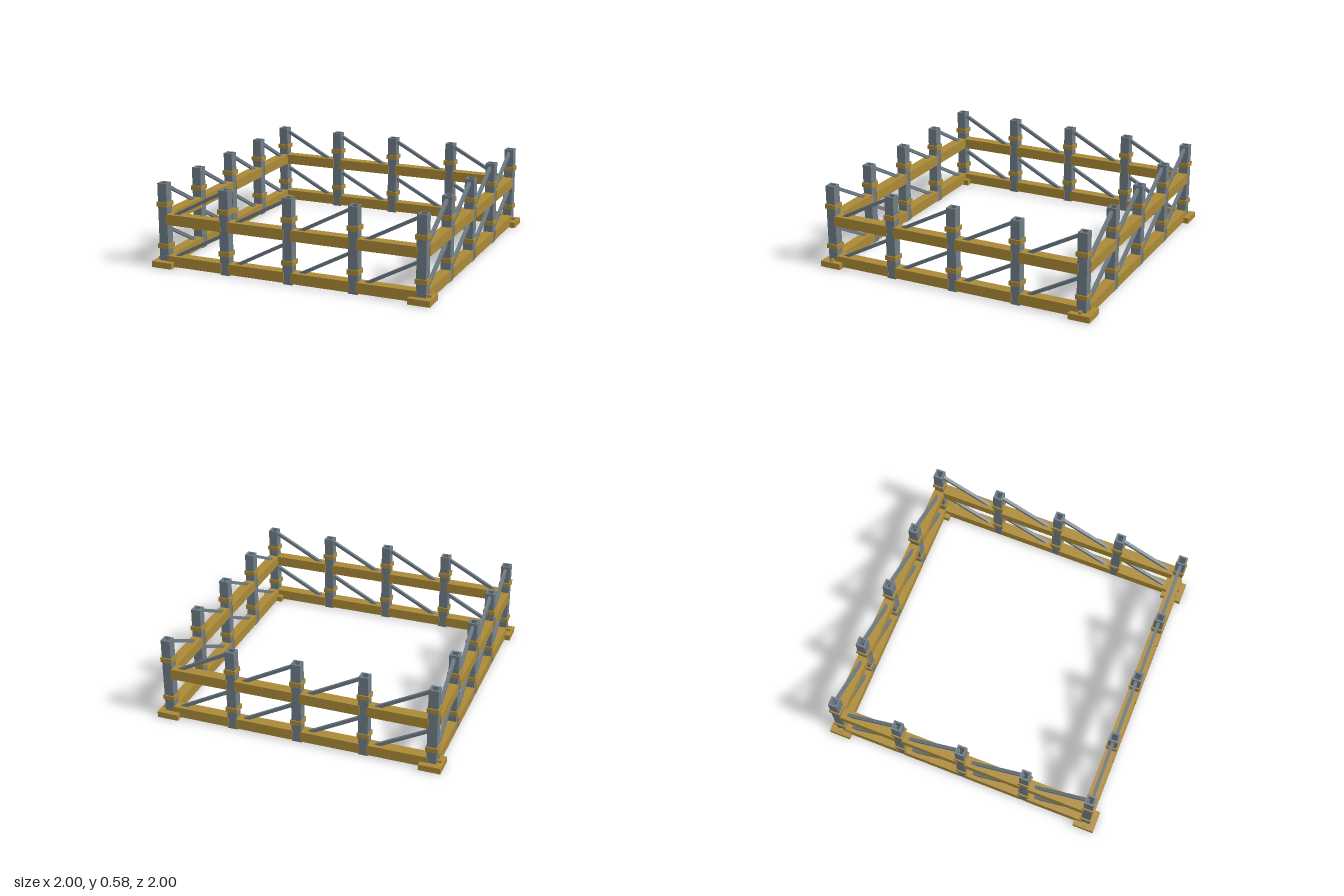
import * as THREE from 'three';

const EDGE = 0.925;        // distance of the post line from the centre
const BAY = EDGE / 2;      // post spacing
const LEVELS = [0, 0.291]; // base heights of the two tiers

// Square tube standing on y = 0
function squareTube(outer, inner, height) {
  const square = (Type, h) => new Type([
    new THREE.Vector2(-h, -h), new THREE.Vector2(h, -h),
    new THREE.Vector2(h, h), new THREE.Vector2(-h, h),
  ]);
  const shape = square(THREE.Shape, outer / 2);
  shape.holes.push(square(THREE.Path, inner / 2));
  const geo = new THREE.ExtrudeGeometry(shape, { depth: height, bevelEnabled: false });
  return geo.rotateX(-Math.PI / 2);
}

export function createModel() {
  const timber = new THREE.MeshStandardMaterial({ name: 'ochre', color: 0xab8a38 });
  const steel = new THREE.MeshStandardMaterial({ name: 'steelGrey', color: 0x6f7c86 });

  const add = (parent, name, geo, mat, x, y, z) => {
    const mesh = new THREE.Mesh(geo, mat);
    mesh.name = name;
    mesh.position.set(x, y, z);
    parent.add(mesh);
    return mesh;
  };

  const postGeo = squareTube(0.066, 0.042, 0.585);
  const collarGeo = squareTube(0.082, 0.064, 0.032);
  const beamGeo = new THREE.BoxGeometry(BAY - 0.05, 0.073, 0.075);
  const plateGeo = new THREE.BoxGeometry(0.15, 0.042, 0.15);
  const lugGeo = new THREE.BoxGeometry(0.04, 0.018, 0.02);

  // Diagonal brace, rising towards +x
  const rise = 0.234, run = BAY - 0.026;
  const braceGeo = new THREE.BoxGeometry(Math.hypot(rise, run), 0.022, 0.022);
  braceGeo.rotateZ(Math.atan2(rise, run));

  const model = new THREE.Group();
  model.name = 'fenceFrame';

  // Four identical sides, each turned a quarter further
  for (let s = 0; s < 4; s++) {
    const side = new THREE.Group();
    side.name = 'side' + (s + 1);
    side.rotation.y = s * Math.PI / 2;
    model.add(side);

    add(side, 'cornerPlate', plateGeo, timber, -EDGE, 0.023, EDGE);

    for (let i = 0; i < 4; i++) {
      const x = -EDGE + i * BAY;
      add(side, 'post', postGeo, steel, x, 0, EDGE);
      for (const y of LEVELS) {
        add(side, 'collar', collarGeo, timber, x, y + 0.132, EDGE);
        add(side, 'beam', beamGeo, timber, x + BAY / 2, y + 0.047, EDGE);
        add(side, 'brace', braceGeo, steel, x + BAY / 2, y + 0.157, EDGE);
      }
    }
  }

  // Small lugs on the outer ends of the corner plates
  for (const sx of [-1, 1]) {
    for (const sz of [-1, 1]) {
      add(model, 'plateLug', lugGeo, timber, sx * 0.965, 0.05, sz * EDGE);
    }
  }
  return model;
}
